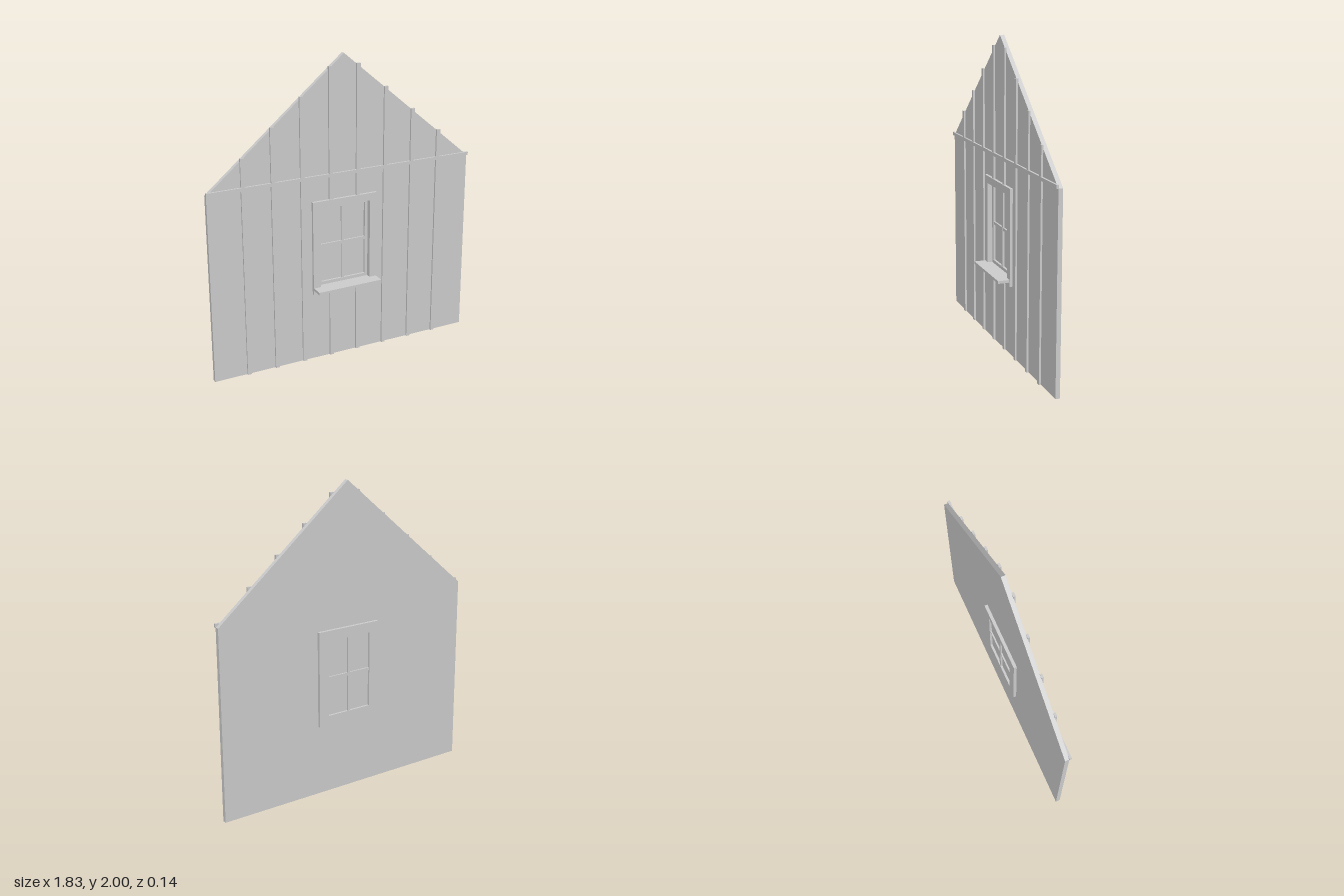
import * as THREE from 'three';

export function createModel() {
  const model = new THREE.Group();
  model.name = 'gableWall';
  const grey = new THREE.MeshStandardMaterial({ color: 0xcccccc });
  grey.name = 'plain grey';

  const add = (name, geometry, parent = model) => {
    const mesh = new THREE.Mesh(geometry, grey);
    mesh.name = name;
    parent.add(mesh);
    return mesh;
  };
  // box given by its limits on each axis
  const box = (name, x0, x1, y0, y1, z0, z1, parent) => {
    const mesh = add(name, new THREE.BoxGeometry(x1 - x0, y1 - y0, z1 - z0), parent);
    mesh.position.set((x0 + x1) / 2, (y0 + y1) / 2, (z0 + z1) / 2);
    return mesh;
  };
  const rect = (Type, w, y0, y1) => new Type([
    [-w, y0], [w, y0], [w, y1], [-w, y1],
  ].map(([x, y]) => new THREE.Vector2(x, y)));
  const extrude = (shape, z0, z1) =>
    new THREE.ExtrudeGeometry(shape, { depth: z1 - z0, bevelEnabled: false }).translate(0, 0, z0);
  const ring = (outer, inner, z0, z1) => {
    const shape = rect(THREE.Shape, ...outer);
    shape.holes.push(rect(THREE.Path, ...inner));
    return extrude(shape, z0, z1);
  };

  // wall panel with pointed gable and window opening
  const halfWidth = 0.91, eaves = 1.235, peak = 2;
  const slope = (peak - eaves) / halfWidth;
  const wall = new THREE.Shape([
    [-halfWidth, 0], [halfWidth, 0], [halfWidth, eaves], [0, peak], [-halfWidth, eaves],
  ].map(([x, y]) => new THREE.Vector2(x, y)));
  wall.holes.push(rect(THREE.Path, 0.2, 0.485, 1.065));
  add('wall', extrude(wall, -0.051, -0.023));

  // vertical battens, the middle pair broken by the window
  const battens = new THREE.Group();
  battens.name = 'battens';
  model.add(battens);
  const hw = 0.013;
  for (const side of [-1, 1]) {
    for (const d of [0.095, 0.29, 0.485, 0.68]) {
      const x = side * d;
      const top = peak - slope * (d - hw);
      const spans = d < 0.2 ? [[0, 0.47], [1.08, eaves], [1.257, top]] : [[0, eaves], [1.257, top]];
      for (const [y0, y1] of spans) box('batten', x - hw, x + hw, y0, y1, -0.025, -0.011, battens);
    }
  }
  box('eavesRail', -0.913, 0.913, eaves, 1.257, -0.025, -0.01);

  // window: surround, sash, glazing bars, glass and sill
  const win = new THREE.Group();
  win.name = 'window';
  model.add(win);
  add('windowSurround', ring([0.226, 0.462, 1.088], [0.177, 0.506, 1.04], -0.071, -0.005), win);
  add('sash', ring([0.177, 0.506, 1.04], [0.157, 0.527, 1.022], -0.071, -0.037), win);
  box('verticalBar', -0.009, 0.009, 0.527, 1.022, -0.067, -0.04, win);
  box('horizontalBar', -0.157, 0.157, 0.766, 0.785, -0.066, -0.041, win);
  box('glass', -0.157, 0.157, 0.527, 1.022, -0.056, -0.052, win);
  box('sill', -0.224, 0.224, 0.49, 0.507, -0.036, 0.071, win);

  return model;
}
